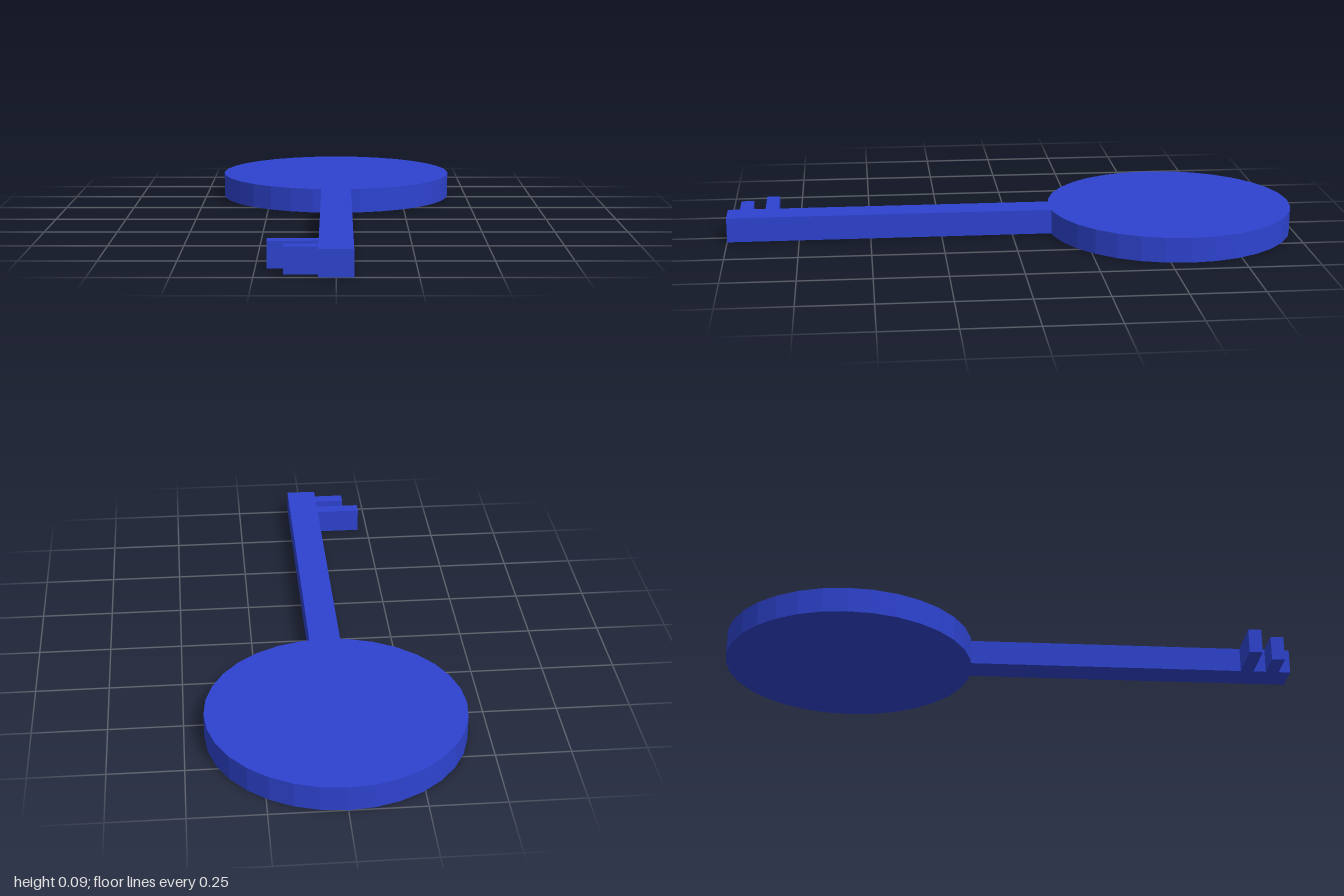
import * as THREE from 'three';

const HEIGHT = 0.087;
const HEAD_RADIUS = 0.433;

export function createModel() {
  const key = new THREE.Group();
  key.name = 'key';
  const blue = new THREE.MeshStandardMaterial({ color: 0x2e43d0 });
  blue.name = 'blue';

  // Adds a full-height bar spanning the given x and z ranges
  const addBar = (name, x0, x1, z0, z1) => {
    const bar = new THREE.Mesh(new THREE.BoxGeometry(x1 - x0, HEIGHT, z1 - z0), blue);
    bar.name = name;
    bar.position.set((x0 + x1) / 2, HEIGHT / 2, (z0 + z1) / 2);
    key.add(bar);
  };

  // Round solid head with faceted rim
  const disc = new THREE.CylinderGeometry(HEAD_RADIUS, HEAD_RADIUS, HEIGHT, 32).toNonIndexed();
  disc.computeVertexNormals();
  const head = new THREE.Mesh(disc, blue);
  head.name = 'head';
  head.position.set(0, HEIGHT / 2, HEAD_RADIUS - 1);
  key.add(head);

  // Shaft and the two teeth on its right side
  addBar('shaft', -0.054, 0.054, -0.14, 1);
  addBar('longTooth', -0.214, -0.054, 0.822, 0.868);
  addBar('shortTooth', -0.16, -0.054, 0.912, 0.958);

  return key;
}
